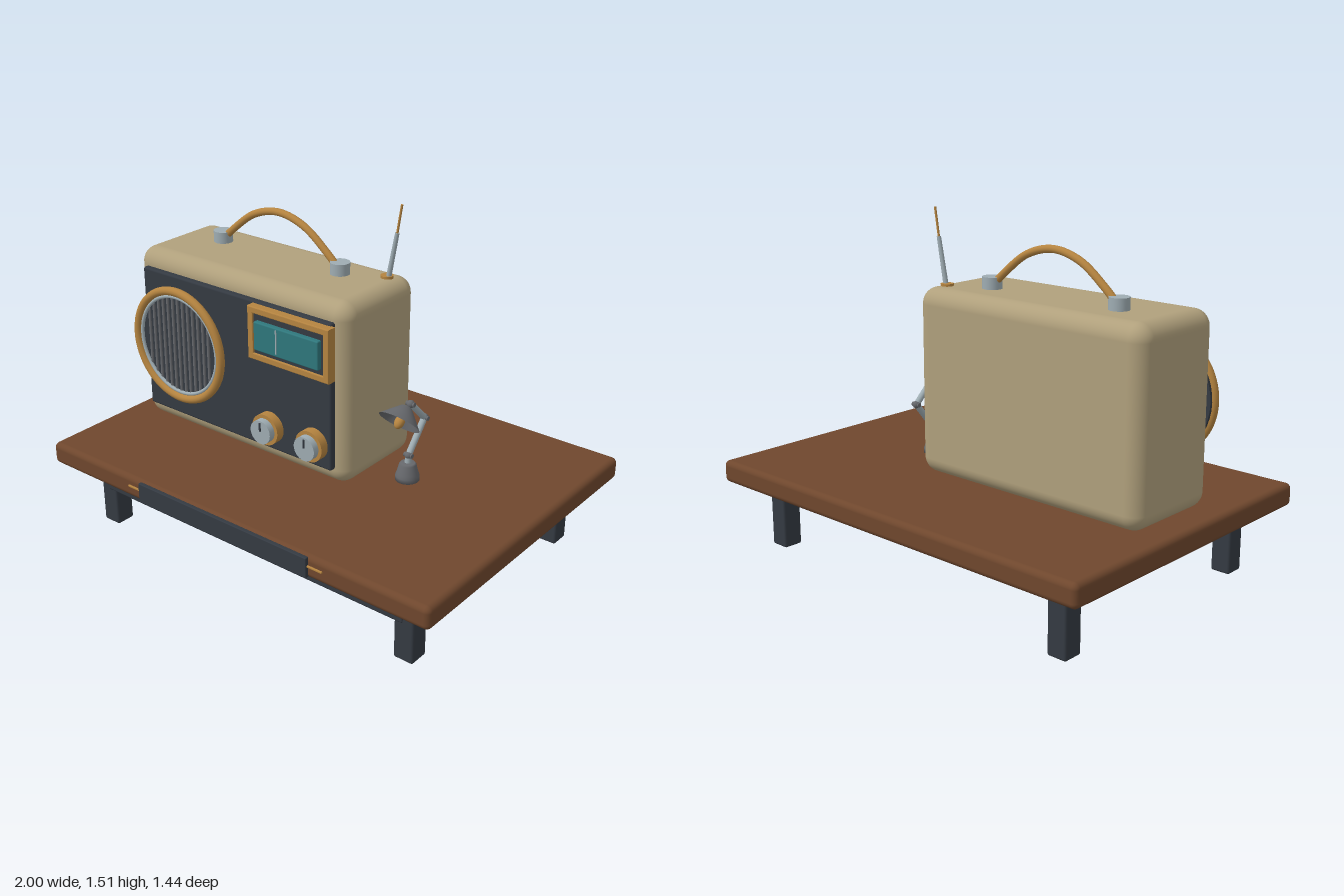
import * as THREE from 'three';
import { RoundedBoxGeometry } from 'three/addons/geometries/RoundedBoxGeometry.js';

const mat = (name, color, side = THREE.FrontSide) => {
  const m = new THREE.MeshStandardMaterial({ color, side });
  m.name = name;
  return m;
};

export function createModel() {
  const wood = mat('walnut', 0x6f472d);
  const cream = mat('cream', 0xb0a07c);
  const dark = mat('charcoal', 0x343a42);
  const gold = mat('brass', 0xb58440);
  const silver = mat('silver', 0x9eacb2);
  const grey = mat('gunmetal', 0x66686c, THREE.DoubleSide);
  const teal = mat('teal glass', 0x2f777c);

  const root = new THREE.Group();
  root.name = 'radioOnTable';
  const group = (name) => {
    const g = new THREE.Group();
    g.name = name;
    root.add(g);
    return g;
  };
  const add = (parent, name, geo, material, x = 0, y = 0, z = 0) => {
    const m = new THREE.Mesh(geo, material);
    m.name = name;
    m.position.set(x, y, z);
    parent.add(m);
    return m;
  };
  // Box given by its limits on each axis, with rounded edges
  const box = (parent, name, material, [x0, x1], [y0, y1], [z0, z1], r = 0.006, seg = 2) =>
    add(parent, name, new RoundedBoxGeometry(x1 - x0, y1 - y0, z1 - z0, seg, r), material,
      (x0 + x1) / 2, (y0 + y1) / 2, (z0 + z1) / 2);
  // Round rod between two points
  const rod = (parent, name, material, a, b, r0, r1 = r0) => {
    const p = new THREE.Vector3(...a), d = new THREE.Vector3(...b).sub(p);
    const m = add(parent, name, new THREE.CylinderGeometry(r1, r0, d.length(), 20), material);
    m.position.copy(p).addScaledVector(d, 0.5);
    m.quaternion.setFromUnitVectors(new THREE.Vector3(0, 1, 0), d.normalize());
    return m;
  };
  // Disc facing the front
  const disc = (parent, name, material, x, y, z0, z1, r) => {
    const m = add(parent, name, new THREE.CylinderGeometry(r, r, z1 - z0, 48), material, x, y, (z0 + z1) / 2);
    m.rotation.x = Math.PI / 2;
    return m;
  };

  // Table
  const table = group('table');
  box(table, 'tableTop', wood, [-1, 1], [0.29, 0.39], [-0.72, 0.705], 0.025, 4);
  for (const x of [-0.803, 0.803])
    for (const z of [-0.54, 0.53])
      box(table, 'leg', dark, [x - 0.045, x + 0.045], [0, 0.292], [z - 0.045, z + 0.045], 0.01);
  box(table, 'frontApron', dark, [-0.8, 0.8], [0.17, 0.278], [0.53, 0.58], 0.008);
  box(table, 'drawerFront', dark, [-0.45, 0.45], [0.297, 0.386], [0.7, 0.719], 0.004);
  box(table, 'drawerTrim', gold, [-0.52, 0.52], [0.343, 0.351], [0.7, 0.712], 0.002);

  // Radio cabinet and front panel
  const radio = group('radio');
  box(radio, 'cabinet', cream, [-0.9, 0.26], [0.39, 1.19], [-0.24, 0.23], 0.07, 6);
  box(radio, 'frontPanel', dark, [-0.84, 0.2], [0.465, 1.115], [0.2, 0.255], 0.01);

  // Speaker with vertical grille bars
  const speaker = group('speaker');
  const sx = -0.63, sy = 0.805;
  disc(speaker, 'speakerBack', dark, sx, sy, 0.24, 0.264, 0.25);
  add(speaker, 'speakerRing', new THREE.TorusGeometry(0.247, 0.019, 12, 72), gold, sx, sy, 0.271);
  add(speaker, 'innerRing', new THREE.TorusGeometry(0.222, 0.008, 10, 72), silver, sx, sy, 0.27);
  for (let i = -6; i <= 6; i++) {
    const x = i * 0.029, h = Math.sqrt(0.215 ** 2 - x * x);
    rod(speaker, 'grilleBar', grey, [sx + x, sy - h, 0.265], [sx + x, sy + h, 0.265], 0.007);
  }

  // Tuning dial
  const dial = group('tuningDial');
  const outline = new THREE.Shape().moveTo(-0.2, 0.88).lineTo(0.213, 0.88).lineTo(0.213, 1.103).lineTo(-0.2, 1.103).closePath();
  outline.holes.push(new THREE.Path().moveTo(-0.18, 0.9).lineTo(-0.18, 1.083).lineTo(0.193, 1.083).lineTo(0.193, 0.9).closePath());
  add(dial, 'dialFrame', new THREE.ExtrudeGeometry(outline, {
    depth: 0.038, bevelEnabled: true, bevelSize: 0.004, bevelThickness: 0.004, bevelSegments: 2,
  }), gold, 0, 0, 0.25);
  box(dial, 'dialBacking', dark, [-0.185, 0.198], [0.895, 1.088], [0.25, 0.284], 0.003);
  box(dial, 'dialGlass', teal, [-0.16, 0.175], [0.927, 1.052], [0.27, 0.306], 0.006);
  box(dial, 'dialNeedle', silver, [-0.042, -0.036], [0.94, 1.045], [0.302, 0.309], 0.001);
  add(dial, 'dialStud', new THREE.SphereGeometry(0.018, 20, 14), gold, -0.2, 0.92, 0.268);

  // Control knobs
  for (const x of [-0.12, 0.115]) {
    const knob = group('knob');
    disc(knob, 'knobCollar', gold, x, 0.57, 0.25, 0.295, 0.069);
    disc(knob, 'knobCap', silver, x, 0.57, 0.29, 0.324, 0.053);
    box(knob, 'knobPointer', dark, [x - 0.004, x + 0.004], [0.575, 0.615], [0.32, 0.329], 0.002);
  }

  // Carrying handle
  const handle = group('handle');
  for (const x of [-0.65, 0])
    add(handle, 'handleMount', new THREE.CylinderGeometry(0.042, 0.042, 0.06, 32), silver, x, 1.21, -0.055);
  const arch = new THREE.CatmullRomCurve3([
    [-0.65, 1.2], [-0.58, 1.265], [-0.46, 1.352], [-0.325, 1.385], [-0.19, 1.352], [-0.07, 1.265], [0, 1.2],
  ].map(([x, y]) => new THREE.Vector3(x, y, -0.055)));
  add(handle, 'handleArch', new THREE.TubeGeometry(arch, 48, 0.016, 12), gold);

  // Telescopic antenna
  const antenna = group('antenna');
  add(antenna, 'antennaBase', new THREE.CylinderGeometry(0.027, 0.027, 0.012, 24), gold, 0.178, 1.194, -0.138);
  rod(antenna, 'antennaLower', silver, [0.188, 1.195, -0.136], [0.226, 1.39, -0.136], 0.011, 0.009);
  rod(antenna, 'antennaUpper', gold, [0.226, 1.39, -0.136], [0.246, 1.51, -0.136], 0.005);

  // Desk lamp
  const lamp = group('lamp');
  const lx = 0.4;
  const baseProfile = [[0, 0], [0.051, 0], [0.051, 0.022], [0.046, 0.035], [0.036, 0.073], [0.03, 0.08], [0, 0.08]];
  add(lamp, 'lampBase', new THREE.LatheGeometry(baseProfile.map((p) => new THREE.Vector2(...p)), 32), grey, lx, 0.388, -0.003);
  const joints = [[0.465, -0.005], [0.5, -0.007], [0.632, -0.115], [0.733, -0.012]].map(([y, z]) => [lx, y, z]);
  for (let i = 0; i < 3; i++) rod(lamp, 'lampArm', silver, joints[i], joints[i + 1], 0.014);
  for (const j of joints.slice(1)) {
    add(lamp, 'lampJoint', new THREE.SphereGeometry(0.017, 18, 12), grey, ...j);
    rod(lamp, 'lampPin', grey, [lx - 0.02, j[1], j[2]], [lx + 0.02, j[1], j[2]], 0.01);
  }
  // Shade opens forward and down, with the bulb inside
  const head = new THREE.Group();
  head.name = 'lampHead';
  head.position.set(lx, 0.679, 0.065);
  head.rotation.x = -Math.PI / 4;
  lamp.add(head);
  const shade = [[0.09, 0], [0.055, 0.038], [0.022, 0.072], [0, 0.076]];
  add(head, 'lampShade', new THREE.LatheGeometry(shade.map((p) => new THREE.Vector2(...p)), 36), grey);
  add(head, 'bulb', new THREE.SphereGeometry(0.021, 20, 14), gold, 0, 0.004, 0).scale.y = 1.5;

  return root;
}
